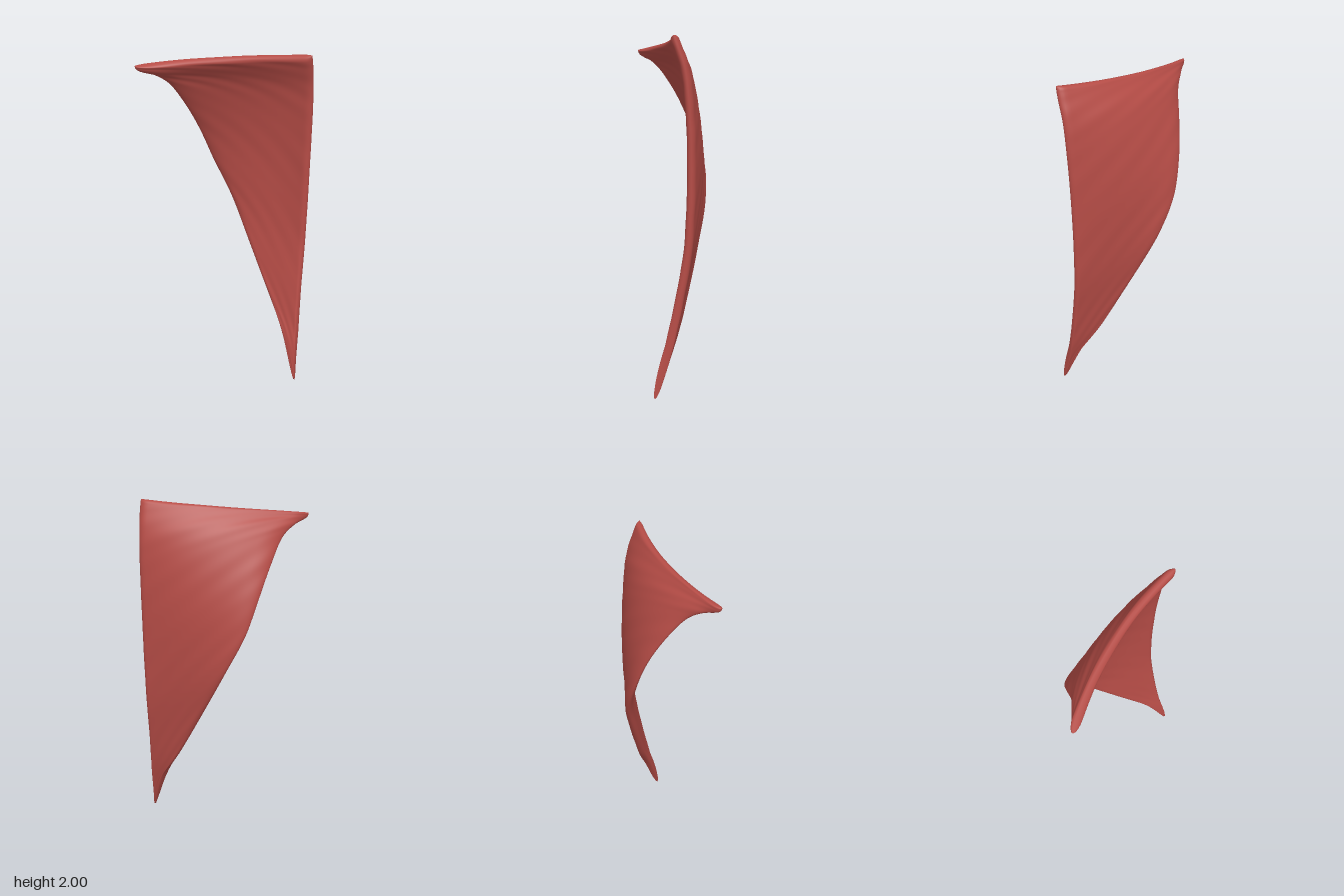
import * as THREE from 'three';
import { mergeVertices } from 'three/addons/utils/BufferGeometryUtils.js';

// One fibre row each, top to bottom: outer edge x, y, z | middle z | midline x, y, z
const ROWS = [
  [-0.472, 1.915, 0.196, 0.05, 0.462, 2.0, 0.022],
  [-0.466, 1.893, 0.188, 0.018, 0.465, 1.93, -0.002],
  [-0.398, 1.858, 0.125, -0.036, 0.464, 1.82, -0.036],
  [-0.335, 1.8, 0.062, -0.078, 0.463, 1.68, -0.053],
  [-0.273, 1.65, -0.04, -0.118, 0.46, 1.5, -0.064],
  [-0.217, 1.48, -0.122, -0.141, 0.457, 1.28, -0.068],
  [-0.15, 1.28, -0.175, -0.139, 0.455, 1.05, -0.066],
  [-0.05, 1.08, -0.185, -0.117, 0.453, 0.8, -0.05],
  [0.1, 0.78, -0.118, -0.063, 0.452, 0.55, -0.006],
  [0.257, 0.475, -0.034, -0.001, 0.455, 0.33, 0.04],
  [0.367, 0.28, 0.028, 0.06, 0.46, 0.16, 0.084],
  [0.459, 0.0, 0.126, 0.126, 0.468, 0.0, 0.126],
];

const curve = (pick) => new THREE.CatmullRomCurve3(ROWS.map((r) => new THREE.Vector3(...pick(r))));
const outerEdge = curve((r) => [r[0], r[1], r[2]]);
const middle = curve((r) => [(r[0] + r[4]) / 2, (r[1] + r[5]) / 2, r[3]]);
const midline = curve((r) => [r[4], r[5], r[6]]);

// Centre of the sheet: a parabola across each row
function sheet(u, v) {
  return outerEdge.getPoint(v).multiplyScalar((1 - u) * (1 - 2 * u))
    .addScaledVector(middle.getPoint(v), 4 * u * (1 - u))
    .addScaledVector(midline.getPoint(v), u * (2 * u - 1));
}

// Rounded rim: 0 at the edge, 1 from distance w inwards
const rim = (d, w) => Math.sqrt(Math.max(0, 1 - (1 - Math.min(1, d / w)) ** 2));

function sheetNormal(u, v) {
  const e = 0.004;
  const u0 = Math.max(0, u - e), u1 = Math.min(1, u + e);
  const v0 = Math.max(0, v - e), v1 = Math.min(1, v + e);
  const du = sheet(u1, v).sub(sheet(u0, v));
  const dv = sheet(u, v1).sub(sheet(u, v0));
  return dv.cross(du).normalize();
}

// Shallow ridges that fan down from the outer edge to the midline
function fibre(u, v, side) {
  const s = v - 0.22 * u;
  return 0.0006 * Math.sin(s * 83 + 2 * u + side) + 0.0006 * Math.sin(s * 51 - 5 * u + 2 * side);
}

function muscleGeometry(nu = 40, nv = 130) {
  const positions = [];
  const indices = [];
  const ease = (t) => (1 - Math.cos(Math.PI * t)) / 2;
  for (const side of [1, -1]) {
    const base = positions.length / 3;
    for (let j = 0; j <= nv; j++) {
      for (let i = 0; i <= nu; i++) {
        const u = ease(i / nu);
        const v = 0.4 * ease(j / nv) + 0.6 * (j / nv);
        // The outer edge is blunt at the shoulder tip and thinner below it
        const outerRim = rim(u, 0.06 + 0.1 * Math.min(1, 5 * v));
        const cover = outerRim * rim(1 - u, 0.045) * rim(v, 0.035) * rim(1 - v, 0.12);
        const p = sheet(u, v).addScaledVector(sheetNormal(u, v), side * cover * (0.024 + fibre(u, v, side)));
        positions.push(p.x, p.y, p.z);
      }
    }
    for (let j = 0; j < nv; j++) {
      for (let i = 0; i < nu; i++) {
        const a = base + j * (nu + 1) + i, b = a + 1, c = a + nu + 1, d = c + 1;
        if (side > 0) indices.push(a, c, b, b, c, d);
        else indices.push(a, b, c, b, d, c);
      }
    }
  }
  const g = new THREE.BufferGeometry();
  g.setAttribute('position', new THREE.Float32BufferAttribute(positions, 3));
  g.setIndex(indices);
  const merged = mergeVertices(g, 1e-5);
  merged.computeVertexNormals();
  return merged;
}

export function createModel() {
  const muscleRed = new THREE.MeshStandardMaterial({ color: 0xb54c46 });
  muscleRed.name = 'muscle red';

  const muscle = new THREE.Mesh(muscleGeometry(), muscleRed);
  muscle.name = 'muscleSheet';

  const group = new THREE.Group();
  group.name = 'backMuscle';
  group.add(muscle);
  return group;
}
